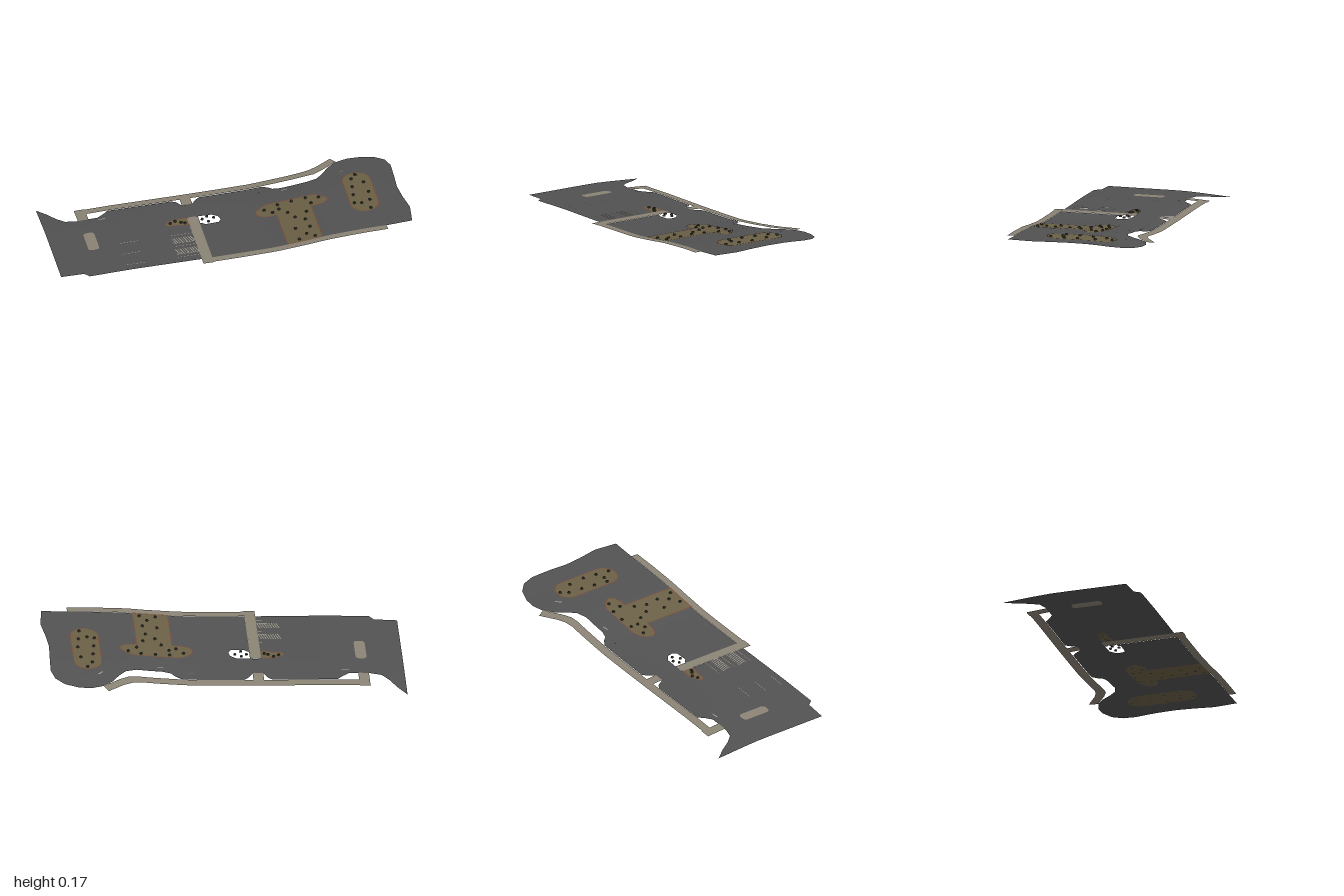
import * as THREE from 'three';
import { mergeGeometries, mergeVertices } from 'three/addons/utils/BufferGeometryUtils.js';

const mat = (name, color) => {
  const m = new THREE.MeshStandardMaterial({ color, side: THREE.DoubleSide });
  m.name = name;
  return m;
};

// Long profile of the ground, as x, y pairs
const PROFILE = [[-1, 0.019], [-0.6, 0.046], [-0.2, 0.063], [0, 0.073], [0.2, 0.085],
  [0.4, 0.11], [0.5, 0.126], [0.7, 0.144], [0.85, 0.152], [1, 0.166]];

// Ground height: follows the profile and dips towards the back edge
function heightAt(x, z) {
  let i = 0;
  while (i < PROFILE.length - 2 && x > PROFILE[i + 1][0]) i++;
  const [x0, y0] = PROFILE[i], [x1, y1] = PROFILE[i + 1];
  const y = y0 + (y1 - y0) * (x - x0) / (x1 - x0);
  return Math.max(0, y - 0.02 * Math.max(0, (-z - 0.1) / 0.3) ** 1.3);
}

// Flat outline of x, z points, cut into small triangles and laid on the ground
function drape(points, holes = [], lift = 0) {
  const toV = (list) => list.map(([x, z]) => new THREE.Vector2(x, -z));
  const shape = new THREE.Shape(toV(points));
  holes.forEach((h) => shape.holes.push(new THREE.Path(toV(h))));
  const flat = new THREE.ShapeGeometry(shape).toNonIndexed().attributes.position;
  const out = [];
  const split = (a, b, c) => {
    const ab = a.distanceTo(b), bc = b.distanceTo(c), ca = c.distanceTo(a);
    const longest = Math.max(ab, bc, ca);
    if (longest < 0.1) {
      for (const p of [a, b, c]) out.push(p.x, heightAt(p.x, -p.y) + lift, -p.y);
    } else if (longest === ab) {
      const m = a.clone().lerp(b, 0.5); split(a, m, c); split(m, b, c);
    } else if (longest === bc) {
      const m = b.clone().lerp(c, 0.5); split(a, b, m); split(a, m, c);
    } else {
      const m = c.clone().lerp(a, 0.5); split(a, b, m); split(m, b, c);
    }
  };
  const corner = (i) => new THREE.Vector2(flat.getX(i), flat.getY(i));
  for (let i = 0; i < flat.count; i += 3) split(corner(i), corner(i + 1), corner(i + 2));
  const g = new THREE.BufferGeometry();
  g.setAttribute('position', new THREE.Float32BufferAttribute(out, 3));
  const merged = mergeVertices(g, 1e-5);
  merged.computeVertexNormals();
  return merged;
}

// Narrow ribbon between two ground points
function line([x0, z0], [x1, z1], width, lift = 0.004) {
  const d = Math.hypot(x1 - x0, z1 - z0) || 1;
  const nx = -(z1 - z0) / d * width / 2, nz = (x1 - x0) / d * width / 2;
  return drape([[x0 + nx, z0 + nz], [x1 + nx, z1 + nz], [x1 - nx, z1 - nz], [x0 - nx, z0 - nz]], [], lift);
}

// Rounded bar running along z
function pill(x0, x1, z0, z1, r, steps = 6) {
  const pts = [];
  [[x1 - r, z1 - r, 0], [x0 + r, z1 - r, 1], [x0 + r, z0 + r, 2], [x1 - r, z0 + r, 3]].forEach(([cx, cz, q]) => {
    for (let i = 0; i <= steps; i++) {
      const a = (q + i / steps) * Math.PI / 2;
      pts.push([cx + r * Math.cos(a), cz + r * Math.sin(a)]);
    }
  });
  return pts;
}

export function createModel() {
  const root = new THREE.Group();
  const asphalt = mat('dark asphalt', 0x525252);
  const paving = mat('beige paving', 0x8b8475);
  const soil = mat('brown soil', 0x6b6046);
  const kerb = mat('red brown edging', 0x7d4c36);
  const plant = mat('dark shrub', 0x33352a);
  const paint = mat('pale line paint', 0xa9a592);
  const add = (name, geometry, material) => {
    const m = new THREE.Mesh(geometry, material);
    m.name = name;
    root.add(m);
  };

  // Outlines of the beds and openings
  const tBed = [[0.28, 0.355], [0.28, 0.05], [0.23, 0.05], [0.19, 0.038], [0.168, 0.01], [0.175, -0.02],
    [0.2, -0.045], [0.24, -0.068], [0.5, -0.068], [0.54, -0.045], [0.572, -0.01], [0.572, 0.01],
    [0.55, 0.03], [0.52, 0.038], [0.475, 0.04], [0.475, 0.355]];
  const longBed = pill(0.688, 0.842, -0.21, 0.185, 0.076);
  const smallBed = [[-0.213, -0.065], [-0.28, -0.065], [-0.32, -0.05], [-0.34, -0.03], [-0.325, -0.01],
    [-0.27, -0.01], [-0.25, 0], [-0.213, 0]];
  const opening = [[-0.147, -0.068], [-0.07, -0.065], [-0.038, -0.04], [-0.03, -0.005], [-0.045, 0.017],
    [-0.12, 0.02], [-0.135, 0.005], [-0.147, 0]];
  const island = pill(-0.8, -0.738, -0.07, 0.105, 0.02, 3);

  // Main ground sheet with notches for the T bed and the crossing path
  const ground = [[-1, -0.4], [-0.95, -0.335], [-0.91, -0.27], [-0.87, -0.225], [-0.81, -0.21], [-0.69, -0.21],
    [-0.655, -0.235], [-0.62, -0.267], [-0.26, -0.267], [-0.235, -0.25], [-0.215, -0.215], [-0.19, -0.207],
    [-0.15, -0.21], [-0.125, -0.245], [-0.1, -0.266], [0.25, -0.266], [0.285, -0.245], [0.305, -0.22],
    [0.35, -0.208], [0.5, -0.208], [0.56, -0.225], [0.6, -0.265], [0.64, -0.32], [0.69, -0.362],
    [0.76, -0.382], [0.83, -0.378], [0.91, -0.35], [0.96, -0.3], [0.98, -0.23], [0.975, -0.1],
    [0.97, 0], [0.98, 0.1], [1, 0.22], [0.985, 0.355],
    ...[...tBed].reverse(),
    [-0.15, 0.355], [-0.15, -0.06], [-0.165, -0.07], [-0.195, -0.07], [-0.21, -0.06], [-0.21, 0.355],
    [-0.845, 0.355], [-0.87, 0.322], [-1, 0.315]];
  add('ground', drape(ground, [longBed, smallBed, opening, island]), asphalt);

  // Paved paths along the back, across the middle and along the front
  const backPath = [[-0.8, -0.325], [-0.74, -0.325], [-0.74, -0.32], [0.48, -0.32], [0.53, -0.328], [0.58, -0.35],
    [0.67, -0.41], [0.695, -0.365], [0.6, -0.3], [0.55, -0.275], [0.5, -0.27], [-0.15, -0.27], [-0.15, -0.207],
    [-0.21, -0.207], [-0.21, -0.27], [-0.74, -0.27], [-0.74, -0.208], [-0.8, -0.208]];
  add('backPath', drape(backPath, [], 0.001), paving);
  const frontPath = [[-0.21, -0.06], [-0.195, -0.07], [-0.165, -0.07], [-0.15, -0.06], [-0.15, 0.355],
    [0.84, 0.355], [0.84, 0.395], [-0.15, 0.4], [-0.15, 0.405], [-0.21, 0.405]];
  add('frontPath', drape(frontPath, [], 0.001), paving);
  add('pavedIsland', drape(island), paving);

  // Planting beds with narrow edging
  Object.entries({ tBed, longBed, smallBed }).forEach(([name, pts]) => {
    add(name, drape(pts), soil);
    add(name + 'Edging', mergeGeometries(pts.map((p, i) => line(p, pts[(i + 1) % pts.length], 0.005, 0.002))), kerb);
  });

  // Small shrubs in the beds and the opening
  const shrubs = [[0.3, 0], [0.34, 0.05], [0.37, 0.11], [0.35, 0.22], [0.35, 0.33], [0.44, 0.33], [0.4, 0.29],
    [0.43, 0.23], [0.42, 0.15], [0.44, 0.08], [0.38, -0.05], [0.46, -0.05], [0.53, -0.03], [0.48, 0.01],
    [0.22, -0.02], [0.26, 0.02], [0.3, -0.045], [0.77, -0.19], [0.74, -0.15], [0.8, -0.1], [0.73, -0.07],
    [0.81, 0], [0.72, 0.01], [0.75, 0.1], [0.71, 0.09], [0.8, 0.08], [0.79, 0.16], [-0.31, -0.035],
    [-0.28, -0.05], [-0.25, -0.03], [-0.23, -0.02], [-0.13, -0.03], [-0.1, -0.05], [-0.065, -0.03], [-0.1, 0]];
  add('shrubs', mergeGeometries(shrubs.map(([x, z]) =>
    new THREE.CylinderGeometry(0.007, 0.009, 0.008, 7).translate(x, heightAt(x, z) + 0.004, z))), plant);

  // Slanted bay markings, thin ground lines and short marks
  const marks = [];
  for (const z of [0.12, 0.23]) {
    for (let i = 0; i < 9; i++) marks.push(line([-0.335 + i * 0.0135, z], [-0.32 + i * 0.0135, z + 0.048], 0.004));
    marks.push(line([-0.335, z + 0.05], [-0.213, z + 0.05], 0.003));
  }
  for (const z of [0.09, 0.2, 0.31]) {
    marks.push(line([-0.63, z], [-0.52, z], 0.002), line([-0.335, z], [-0.213, z], 0.002));
  }
  marks.push(line([-0.69, -0.18], [-0.65, -0.183], 0.006), line([0.345, -0.175], [0.38, -0.18], 0.006),
    line([0.69, -0.24], [0.715, -0.262], 0.007));
  add('groundMarkings', mergeGeometries(marks), paint);

  return root;
}
